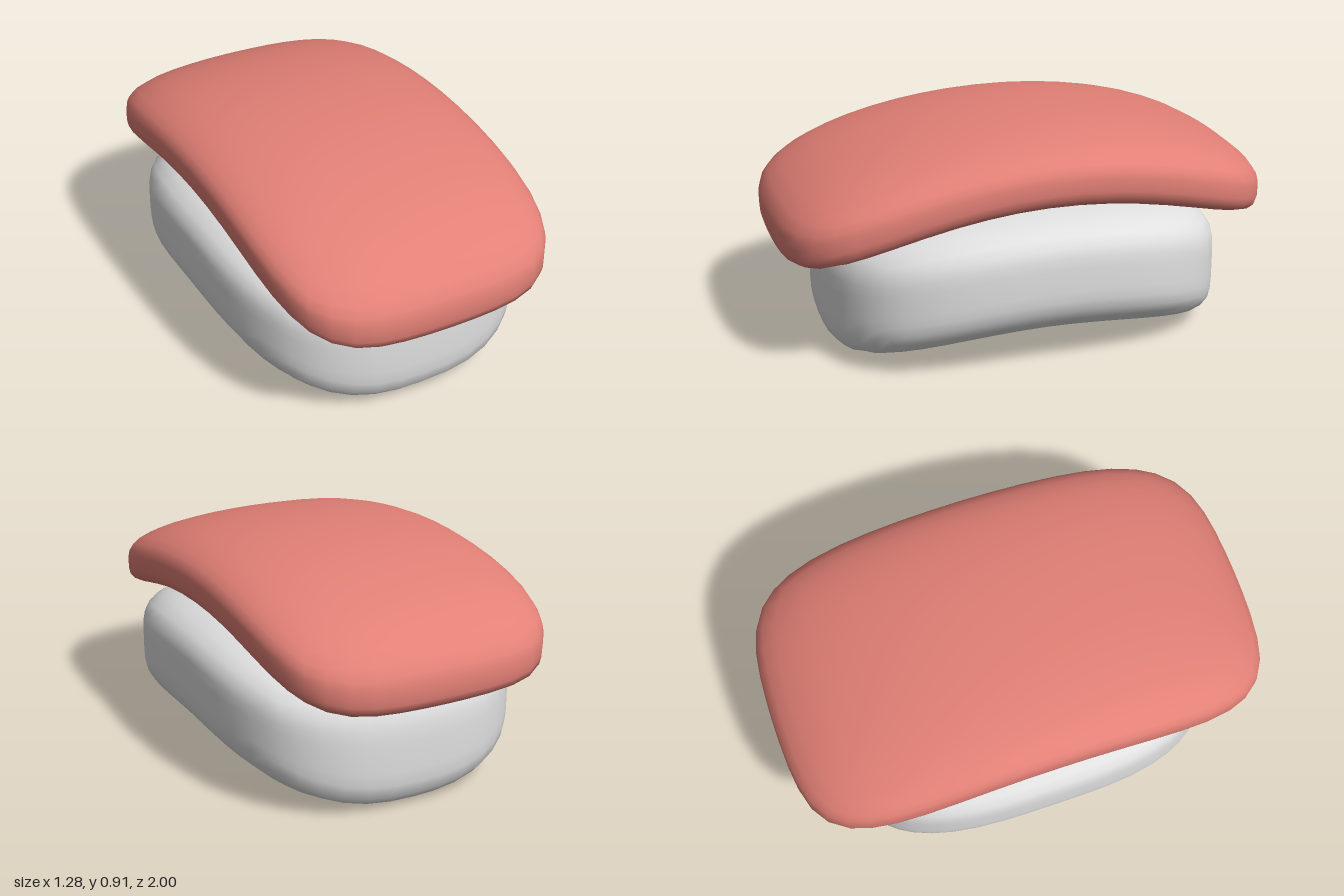
import * as THREE from 'three';
import { mergeVertices } from 'three/addons/utils/BufferGeometryUtils.js';

// Rounded cushion: a subdivided cube projected onto a superellipsoid, then bent.
// plan = squareness seen from above, side = squareness of the vertical sections,
// endBow = how far the end corners are drawn back, bend = height offset.
function cushion({ half, plan, side, endBow, bend }) {
  let geo = new THREE.BoxGeometry(2, 2, 2, 12, 10, 14);
  geo.deleteAttribute('uv');
  geo.deleteAttribute('normal');
  geo = mergeVertices(geo, 1e-4);
  const pos = geo.attributes.position;
  const p = new THREE.Vector3();
  for (let i = 0; i < pos.count; i++) {
    p.fromBufferAttribute(pos, i);
    const r = (Math.abs(p.x) ** plan + Math.abs(p.z) ** plan) ** (1 / plan);
    p.divideScalar((r ** side + Math.abs(p.y) ** side) ** (1 / side));
    p.z *= 1 - endBow * p.x ** 2;
    pos.setXYZ(i, p.x * half[0], p.y * half[1] + bend(p), p.z * half[2]);
  }
  geo.computeVertexNormals();
  return geo;
}

export function createModel() {
  const group = new THREE.Group();
  const riceWhite = new THREE.MeshStandardMaterial({ name: 'riceWhite', color: 0xe0e0e0 });
  const salmonPink = new THREE.MeshStandardMaterial({ name: 'salmonPink', color: 0xe28076 });

  const add = (name, geo, material, x, y, z) => {
    const mesh = new THREE.Mesh(geo, material);
    mesh.name = name;
    mesh.position.set(x, y, z);
    group.add(mesh);
  };

  // Rice: arched along its length, with an underside that curls up at the sides
  const rice = cushion({
    half: [0.64, 0.283, 0.82], plan: 2.9, side: 4.5, endBow: 0,
    bend: (p) => (0.017 * p.y - 0.105) * p.z ** 2 + 0.1 * p.x ** 2 * (0.5 - 0.6 * p.y),
  });
  add('riceBlock', rice, riceWhite, 0, 0.328, -0.008);

  // Fish slice: thin slab draped over the rice, a little lower at the front
  const fish = cushion({
    half: [0.59, 0.155, 1], plan: 5.2, side: 3.6, endBow: 0.055,
    bend: (p) => (0.018 * p.y - 0.22) * p.z ** 2 - 0.022 * p.z - 0.025 * p.x ** 2 * (1 + p.y),
  });
  add('fishSlice', fish, salmonPink, -0.015, 0.755, 0);

  return group;
}
